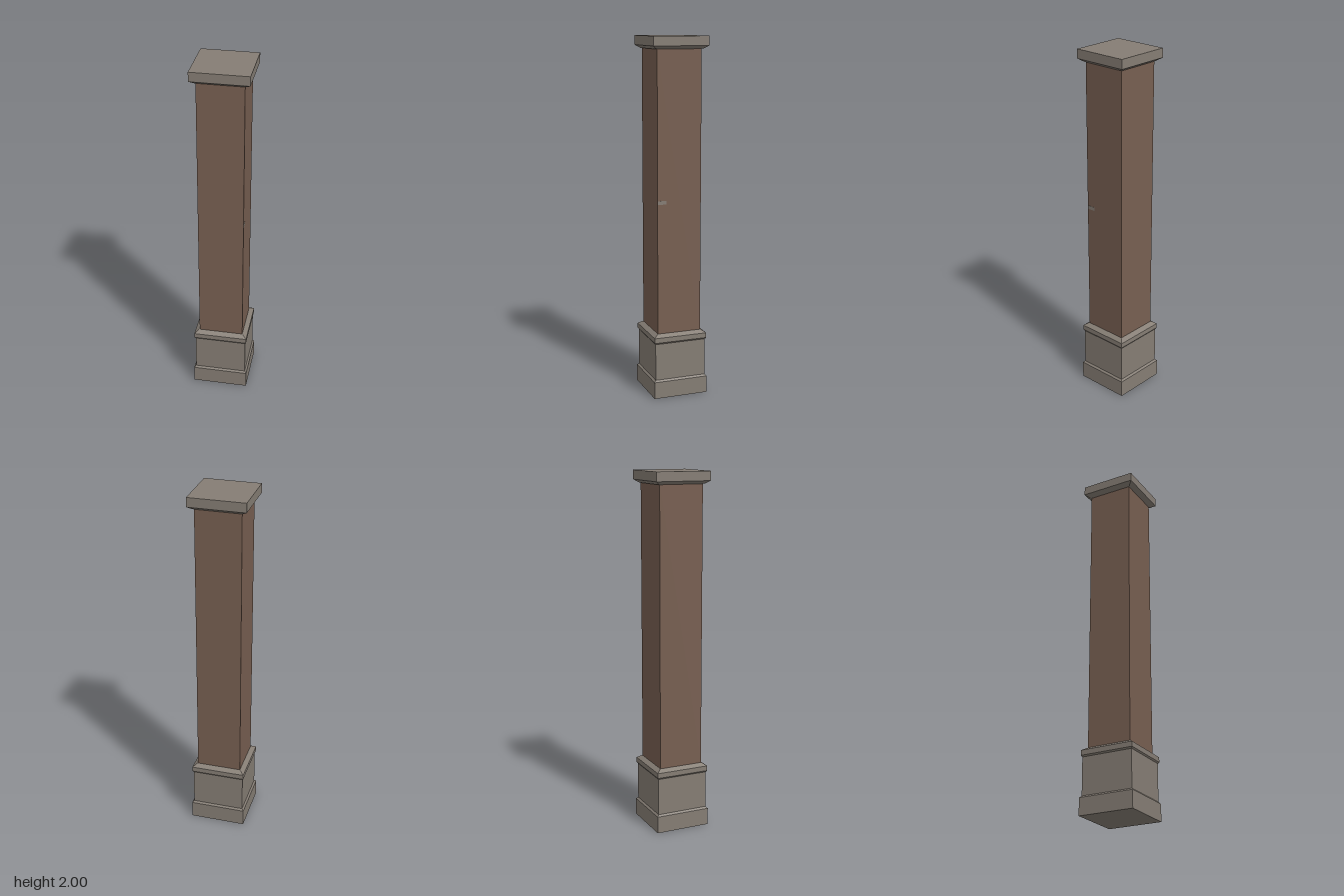
import * as THREE from 'three';

const stone = new THREE.MeshStandardMaterial({ name: 'stone', color: 0x857d74 });
const wood = new THREE.MeshStandardMaterial({ name: 'brownWood', color: 0x775f51 });

// Square moulding from a profile of [half width, height] points, bottom to top
function squareProfile(name, points, material) {
  const profile = points.map(([h, y]) => new THREE.Vector2(h * Math.SQRT2, y));
  const geometry = new THREE.LatheGeometry(profile, 4, Math.PI / 4).toNonIndexed();
  geometry.computeVertexNormals();
  const mesh = new THREE.Mesh(geometry, material);
  mesh.name = name;
  return mesh;
}

export function createModel() {
  const column = new THREE.Group();
  column.name = 'squareColumn';

  // Pedestal: plinth with a small chamfer, block, and a chamfered band on top
  column.add(squareProfile('plinth',
    [[0, 0], [0.157, 0], [0.157, 0.096], [0.147, 0.106], [0, 0.106]], stone));
  column.add(squareProfile('pedestalBlock',
    [[0.147, 0.1], [0.147, 0.32]], stone));
  column.add(squareProfile('pedestalBand',
    [[0, 0.314], [0.146, 0.314], [0.153, 0.324], [0.153, 0.352], [0.13, 0.368], [0, 0.368]], stone));

  // Plain shaft
  column.add(squareProfile('shaft', [[0.126, 0.36], [0.126, 1.94]], wood));

  // Small stone patch on the left face of the shaft
  const patch = new THREE.Mesh(new THREE.BoxGeometry(0.002, 0.02, 0.05), stone);
  patch.name = 'shaftPatch';
  patch.position.set(0.126, 1.11, 0.1);
  column.add(patch);

  // Cap slab with a sloping underside
  column.add(squareProfile('cap',
    [[0, 1.932], [0.132, 1.932], [0.157, 1.949], [0.157, 2], [0, 2]], stone));

  return column;
}
